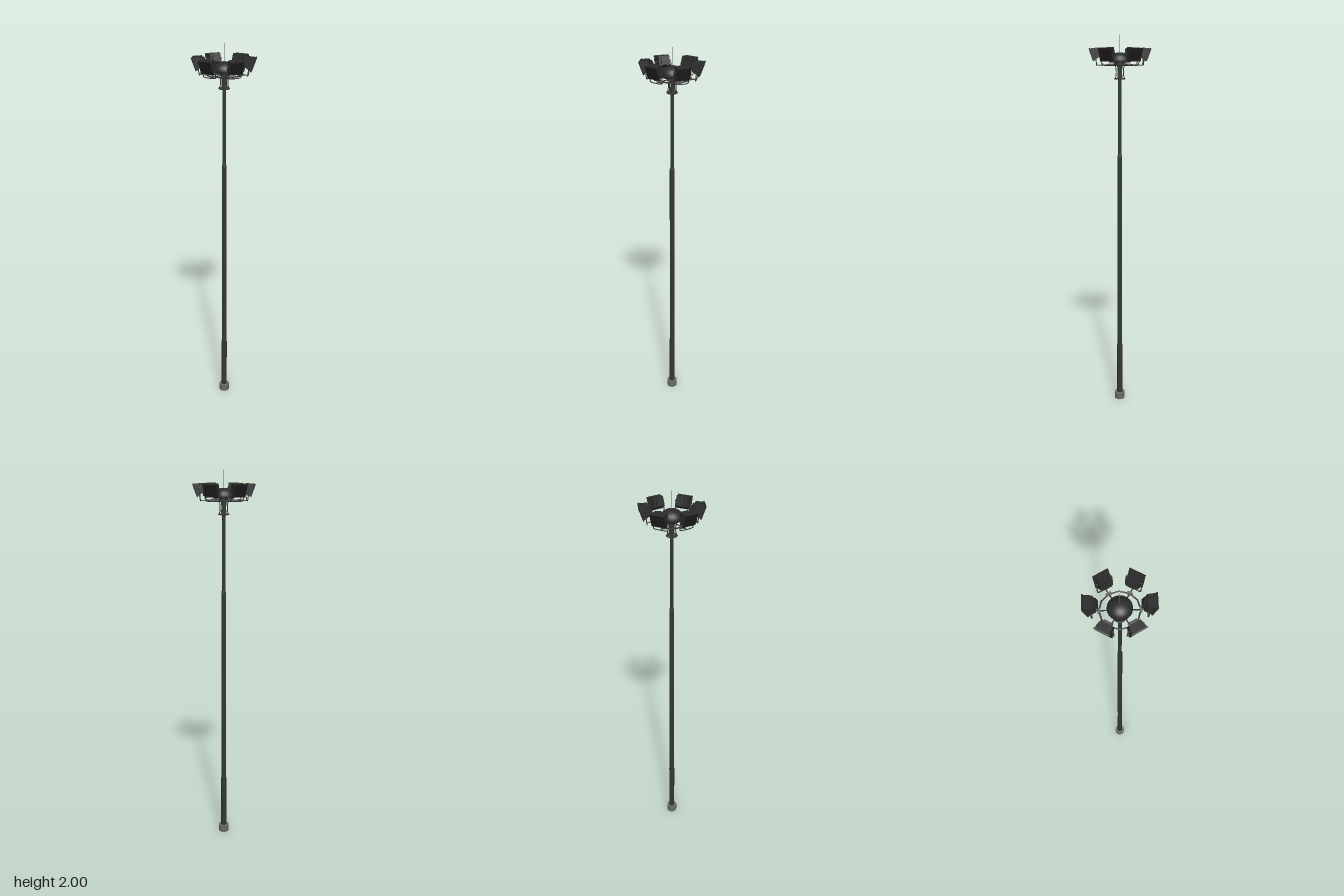
import * as THREE from 'three';

const mat = (name, color) => {
  const m = new THREE.MeshStandardMaterial({ color });
  m.name = name;
  return m;
};

export function createModel() {
  const model = new THREE.Group();
  model.name = 'floodlightMast';
  const pole = mat('dark pole paint', 0x363636);
  const housing = mat('black housing', 0x2b2b2b);
  const lensMat = mat('dark lens', 0x202020);
  const steel = mat('grey steel', 0x6b6b6b);

  const add = (parent, name, geo, material, x = 0, y = 0, z = 0) => {
    const mesh = new THREE.Mesh(geo, material);
    mesh.name = name;
    mesh.position.set(x, y, z);
    parent.add(mesh);
    return mesh;
  };
  const box = (w, h, d) => new THREE.BoxGeometry(w, h, d);
  // upright cylinder spanning y0..y1
  const column = (name, rBottom, rTop, y0, y1, material, sides = 16) =>
    add(model, name, new THREE.CylinderGeometry(rTop, rBottom, y1 - y0, sides), material, 0, (y0 + y1) / 2, 0);
  // round bar through points
  const bar = (parent, name, pts, radius, material) => {
    const curve = new THREE.CatmullRomCurve3(pts.map(p => new THREE.Vector3(...p)), false, 'centripetal');
    return add(parent, name, new THREE.TubeGeometry(curve, pts.length * 5, radius, 6), material);
  };
  // box whose back face (-z) is shrunk
  const taperedBox = (w, h, d, sx, sy) => {
    const g = box(w, h, d), p = g.attributes.position;
    for (let i = 0; i < p.count; i++) {
      if (p.getZ(i) < 0) p.setXY(i, p.getX(i) * sx, p.getY(i) * sy);
    }
    g.computeVertexNormals();
    return g;
  };

  // Stepped mast
  column('base', 0.028, 0.028, 0, 0.038, steel, 12);
  column('lowerPole', 0.015, 0.015, 0.038, 0.33, pole);
  column('middlePole', 0.013, 0.0125, 0.33, 1.385, pole);
  column('poleReducer', 0.0125, 0.009, 1.385, 1.4, pole);
  column('upperPole', 0.009, 0.009, 1.4, 1.87, pole);
  column('headCollar', 0.021, 0.021, 1.847, 1.867, pole);
  column('antenna', 0.002, 0.001, 1.91, 2, steel, 6);

  // Shallow dome cap with a closed underside
  const dome = [[0, 1.865], [0.055, 1.865], [0.0555, 1.872]];
  for (let i = 1; i <= 8; i++) {
    const a = (i / 8) * Math.PI / 2;
    dome.push([i === 8 ? 0 : 0.0555 * Math.cos(a), 1.872 + 0.043 * Math.sin(a)]);
  }
  add(model, 'dome', new THREE.LatheGeometry(dome.map(p => new THREE.Vector2(...p)), 20), housing);

  // Twelve-sided carrier ring and the small lower ring
  const ring = (name, r, tube, y) => {
    const m = add(model, name, new THREE.TorusGeometry(r, tube, 6, 12), pole, 0, y, 0);
    m.rotation.x = Math.PI / 2;
  };
  ring('carrierRing', 0.088, 0.0035, 1.853);
  ring('lowerRing', 0.025, 0.0035, 1.785);

  // Six arms, each with a yoke and a tilted floodlight
  for (let i = 0; i < 6; i++) {
    const unit = new THREE.Group();
    unit.name = 'floodlightUnit' + (i + 1);
    unit.rotation.y = i * Math.PI / 3;
    model.add(unit);

    bar(unit, 'spoke', [[0, 1.853, 0.006], [0, 1.853, 0.117]], 0.0028, pole);
    bar(unit, 'cageStrut', [[0, 1.785, 0.025], [0, 1.797, 0.02], [0, 1.84, 0.02], [0, 1.853, 0.026]], 0.0025, pole);
    add(unit, 'lowerStay', box(0.004, 0.004, 0.02), pole, 0, 1.785, 0.016);
    add(unit, 'ringClamp', box(0.024, 0.011, 0.012), steel, 0, 1.854, 0.088);
    bar(unit, 'yoke', [
      [-0.037, 1.91, 0.125], [-0.037, 1.862, 0.118], [-0.035, 1.855, 0.117], [-0.028, 1.853, 0.117],
      [0.028, 1.853, 0.117], [0.035, 1.855, 0.117], [0.037, 1.862, 0.118], [0.037, 1.91, 0.125],
    ], 0.0025, pole);

    const lamp = new THREE.Group();
    lamp.name = 'floodlight';
    lamp.position.set(0, 1.91, 0.125);
    lamp.rotation.x = 0.35;
    unit.add(lamp);
    add(lamp, 'lampHousing', taperedBox(0.07, 0.062, 0.038, 0.8, 0.72), housing, 0, 0, -0.002);
    add(lamp, 'lampFrame', box(0.075, 0.066, 0.006), housing, 0, 0, 0.019);
    add(lamp, 'lens', box(0.066, 0.057, 0.001), lensMat, 0, 0, 0.0224);
    add(lamp, 'rearGearBox', box(0.036, 0.034, 0.011), housing, 0, -0.002, -0.026);
    for (const y of [-0.012, -0.002, 0.008]) {
      add(lamp, 'coolingFin', box(0.04, 0.003, 0.013), housing, 0, y, -0.026);
    }
    for (const s of [-1, 1]) {
      const knob = add(lamp, 'pivotKnob', new THREE.CylinderGeometry(0.005, 0.005, 0.008, 8), housing, s * 0.035, 0, 0);
      knob.rotation.z = Math.PI / 2;
    }
  }
  return model;
}
